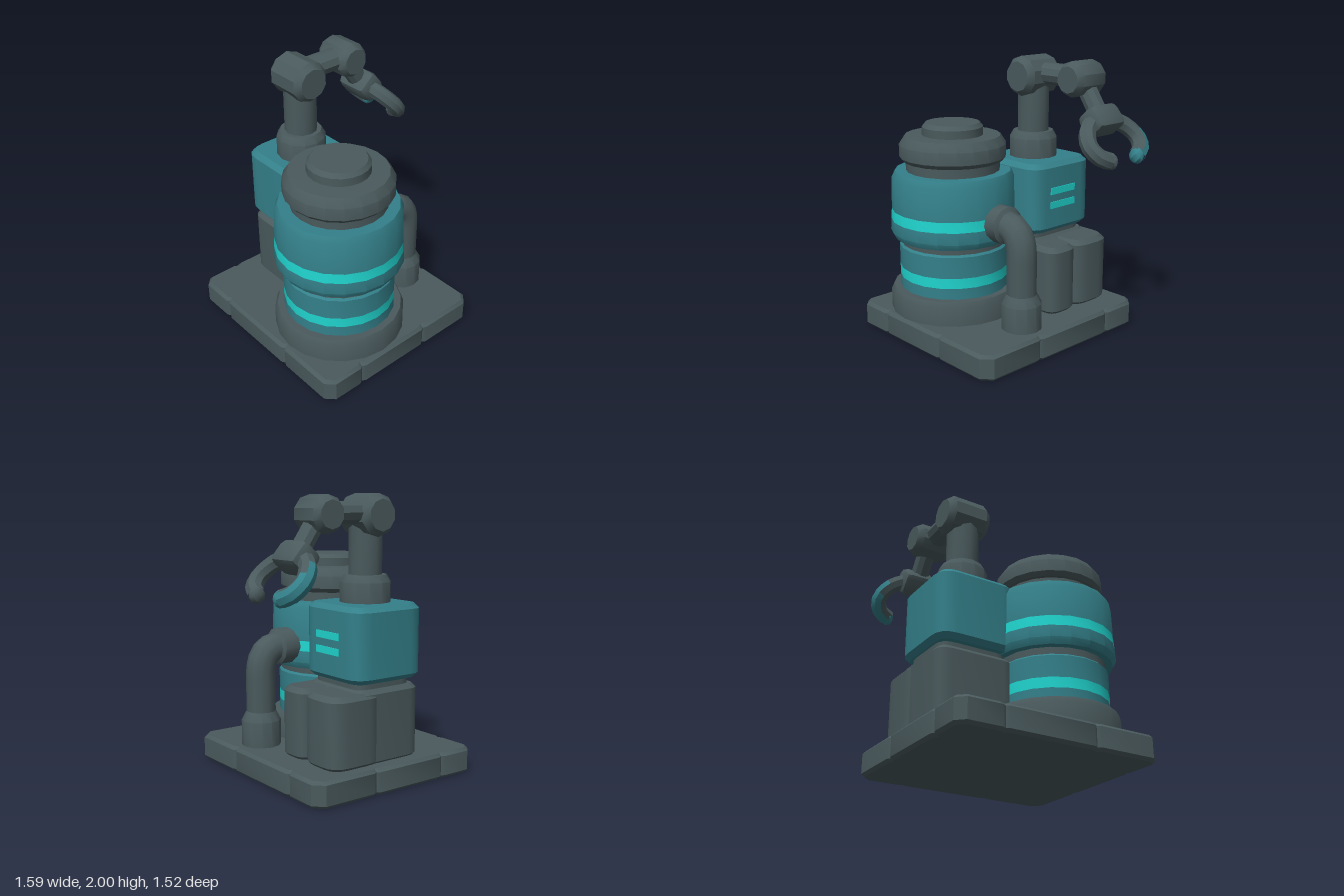
import * as THREE from 'three';
import { toCreasedNormals } from 'three/addons/utils/BufferGeometryUtils.js';
import { RoundedBoxGeometry } from 'three/addons/geometries/RoundedBoxGeometry.js';

const material = (name, color) => {
  const m = new THREE.MeshStandardMaterial({ color });
  m.name = name;
  return m;
};
const V = (x, y, z) => new THREE.Vector3(x, y, z);

export function createModel() {
  const model = new THREE.Group();
  model.name = 'pumpStation';
  const grey = material('darkGrey', 0x4a5a5d);
  const teal = material('teal', 0x34808a);
  const cyan = material('brightCyan', 0x20d4ce);

  const add = (name, geometry, mat, x = 0, y = 0, z = 0, parent = model) => {
    const mesh = new THREE.Mesh(toCreasedNormals(geometry, 0.6), mat);
    mesh.name = name;
    mesh.position.set(x, y, z);
    parent.add(mesh);
    return mesh;
  };

  // Turned part from [radius, height] pairs, listed upwards
  const turned = (pairs, sides) =>
    new THREE.LatheGeometry(pairs.map(([r, y]) => new THREE.Vector2(r, y)), sides);

  // Upright extrusion of a plan shape with bevelled rims
  const upright = (shape, y0, y1, bevel) => new THREE.ExtrudeGeometry(shape, {
    depth: y1 - y0 - 2 * bevel, bevelThickness: bevel, bevelSize: bevel,
    bevelOffset: -bevel, bevelSegments: 1, curveSegments: 4,
  }).rotateX(-Math.PI / 2).translate(0, y0 + bevel, 0);

  // Block with rounded vertical corners
  const block = (name, mat, [x0, x1], [y0, y1], [z0, z1], radius, bevel) => {
    const a = (x1 - x0) / 2, b = (z1 - z0) / 2, r = radius;
    const s = new THREE.Shape();
    s.moveTo(-a + r, -b);
    s.lineTo(a - r, -b).quadraticCurveTo(a, -b, a, -b + r);
    s.lineTo(a, b - r).quadraticCurveTo(a, b, a - r, b);
    s.lineTo(-a + r, b).quadraticCurveTo(-a, b, -a, b - r);
    s.lineTo(-a, -b + r).quadraticCurveTo(-a, -b, -a + r, -b);
    return add(name, upright(s, y0, y1, bevel), mat, (x0 + x1) / 2, 0, (z0 + z1) / 2);
  };

  // Base slab: chamfered corners and small notches at the tile joints
  const slab = new THREE.Shape();
  const notch = 0.015, half = 0.025;
  slab.moveTo(-0.74, -0.76);
  for (const x of [-0.49, 0.11]) {
    slab.lineTo(x - half, -0.76).lineTo(x, -0.76 + notch).lineTo(x + half, -0.76);
  }
  slab.lineTo(0.54, -0.76).lineTo(0.61, -0.69);
  for (const y of [-0.25, 0.43]) {
    slab.lineTo(0.61, y - half).lineTo(0.61 - notch, y).lineTo(0.61, y + half);
  }
  slab.lineTo(0.61, 0.69).lineTo(0.54, 0.76);
  for (const x of [0.11, -0.49]) {
    slab.lineTo(x + half, 0.76).lineTo(x, 0.76 - notch).lineTo(x - half, 0.76);
  }
  slab.lineTo(-0.74, 0.76).lineTo(-0.8, 0.7);
  for (const y of [0.43, -0.25]) {
    slab.lineTo(-0.8, y + half).lineTo(-0.8 + notch, y).lineTo(-0.8, y - half);
  }
  slab.lineTo(-0.8, -0.7);
  add('baseSlab', upright(slab, 0, 0.185, 0.022), grey);

  // Tank: stacked rings sharing one axis
  const tank = new THREE.Group();
  tank.name = 'tank';
  tank.position.set(-0.285, 0, 0.27);
  model.add(tank);
  const ring = (name, mat, pairs) => add(name, turned(pairs, 20), mat, 0, 0, 0, tank);
  ring('tankFoot', grey, [[0.47, 0.17], [0.47, 0.32], [0.45, 0.36], [0.38, 0.36]]);
  ring('lowerTankBottom', teal, [[0.4, 0.35], [0.4, 0.44]]);
  ring('lowerStripe', cyan, [[0.4, 0.44], [0.4, 0.515]]);
  ring('lowerTankTop', teal, [[0.4, 0.515], [0.4, 0.67], [0.38, 0.69]]);
  ring('waistGroove', grey, [[0.385, 0.685], [0.385, 0.75]]);
  ring('upperTankBottom', teal, [[0.38, 0.735], [0.435, 0.735], [0.46, 0.78], [0.455, 0.865]]);
  ring('upperStripe', cyan, [[0.455, 0.865], [0.45, 0.94]]);
  ring('upperTankTop', teal, [[0.45, 0.94], [0.444, 1.17], [0.42, 1.22], [0.3, 1.22]]);
  ring('neck', grey, [[0.34, 1.2], [0.34, 1.31]]);
  ring('lid', grey, [[0.33, 1.285], [0.36, 1.29], [0.385, 1.32], [0.385, 1.41], [0.345, 1.47], [0, 1.475]]);
  ring('lidCap', grey, [[0.22, 1.46], [0.22, 1.53], [0.195, 1.56], [0, 1.56]]);

  // Outlet pipe: collar on the tank, bend, and foot on the slab
  const pz = 0.23;
  const pipePath = new THREE.CurvePath();
  pipePath.add(new THREE.LineCurve3(V(0.1, 0.895, pz), V(0.24, 0.895, pz)));
  pipePath.add(new THREE.QuadraticBezierCurve3(V(0.24, 0.895, pz), V(0.39, 0.895, pz), V(0.39, 0.7, pz)));
  pipePath.add(new THREE.LineCurve3(V(0.39, 0.7, pz), V(0.39, 0.2, pz)));
  add('outletPipe', new THREE.TubeGeometry(pipePath, 18, 0.107, 12), grey);
  add('pipeFoot', turned([[0.143, 0.17], [0.143, 0.37], [0.105, 0.44]], 12), grey, 0.39, 0, pz);
  add('pipeCollar', turned([[0.135, -0.07], [0.135, 0.065], [0.1, 0.085]], 12).rotateZ(-Math.PI / 2),
    grey, 0.185, 0.895, pz);

  // Arm pedestal with two lobes, and the machine box above it
  block('pedestal', grey, [-0.36, 0.2], [0.17, 0.7], [-0.66, -0.07], 0.1, 0.03);
  block('pedestalNeck', grey, [-0.31, 0.16], [0.66, 0.77], [-0.62, -0.1], 0.1, 0.01);
  block('frontLobe', grey, [-0.02, 0.415], [0.17, 0.685], [-0.32, -0.05], 0.1, 0.035);
  block('backLobe', grey, [-0.02, 0.415], [0.17, 0.685], [-0.675, -0.305], 0.13, 0.035);
  block('machineBox', teal, [-0.385, 0.22], [0.74, 1.26], [-0.67, -0.06], 0.13, 0.035);
  for (const y of [0.945, 1.05]) {
    add('ventLight', new THREE.BoxGeometry(0.009, 0.05, 0.25), cyan, 0.222, y, -0.35);
  }

  // Arm column
  add('armCollar', turned([[0.18, 1.24], [0.18, 1.4], [0.15, 1.45], [0, 1.45]], 12), grey, -0.1, 0, -0.36);
  add('armColumn', new THREE.CylinderGeometry(0.118, 0.118, 0.42, 12), grey, -0.1, 1.63, -0.36);

  // Chamfered joints lying along z
  const joint = (name, r, h, x, y, z) => add(name, turned(
    [[0, -h], [r * 0.75, -h], [r, -h + 0.045], [r, h - 0.045], [r * 0.75, h], [0, h]], 10,
  ).rotateX(Math.PI / 2), grey, x, y, z);
  joint('shoulderJoint', 0.147, 0.17, -0.105, 1.857, -0.365);
  joint('elbowJoint', 0.128, 0.15, 0.335, 1.868, -0.405);
  add('upperArm', new THREE.CylinderGeometry(0.08, 0.08, 0.42, 10).rotateZ(Math.PI / 2).scale(1, 1, 1.25),
    grey, 0.12, 1.875, -0.395);

  // Forearm, wrist and claws share a frame whose x axis points along the reach
  const hand = new THREE.Group();
  hand.name = 'hand';
  hand.position.set(0.525, 1.59, -0.41);
  hand.rotation.z = -0.85;
  model.add(hand);
  const forearm = add('forearm', new THREE.CylinderGeometry(0.07, 0.07, 0.3, 10), grey, 0.42, 1.74, -0.41);
  forearm.rotation.z = 0.6;
  add('wrist', new RoundedBoxGeometry(0.19, 0.19, 0.28, 1, 0.05), grey, 0, 0, 0, hand);

  for (const side of [1, -1]) {
    const path = new THREE.CatmullRomCurve3(
      [[-0.01, 0.08], [0.07, 0.2], [0.18, 0.255], [0.27, 0.22], [0.315, 0.14]]
        .map(([s, z]) => V(s, 0, z * side)));
    const rows = 10, sides = 8;
    const tube = new THREE.TubeGeometry(path, rows, 0.06, sides);
    const mats = side > 0 ? grey : [grey, teal];
    if (side < 0) {
      // The back claw is teal on its outward and far faces
      const p = tube.attributes.position, index = tube.index;
      for (let q = 0; q < rows * sides; q++) {
        const centre = V(0, 0, 0);
        for (let k = 0; k < 6; k++) {
          centre.add(V(0, 0, 0).fromBufferAttribute(p, index.getX(q * 6 + k)));
        }
        centre.divideScalar(6);
        const row = Math.floor(q / sides);
        const out = centre.sub(path.getPointAt((row + 0.5) / rows));
        const outward = out.dot(V(0.6, 0, -0.8)) > 0.01;
        tube.addGroup(q * 6, 6, row > 2 && outward ? 1 : 0);
      }
    }
    add(side > 0 ? 'frontClaw' : 'backClaw', tube, mats, 0, 0, 0, hand);
    add('clawTip', new THREE.SphereGeometry(0.06, 8, 6), side > 0 ? grey : teal,
      0.315, 0, 0.14 * side, hand).scale.z = 0.7;
  }
  return model;
}
